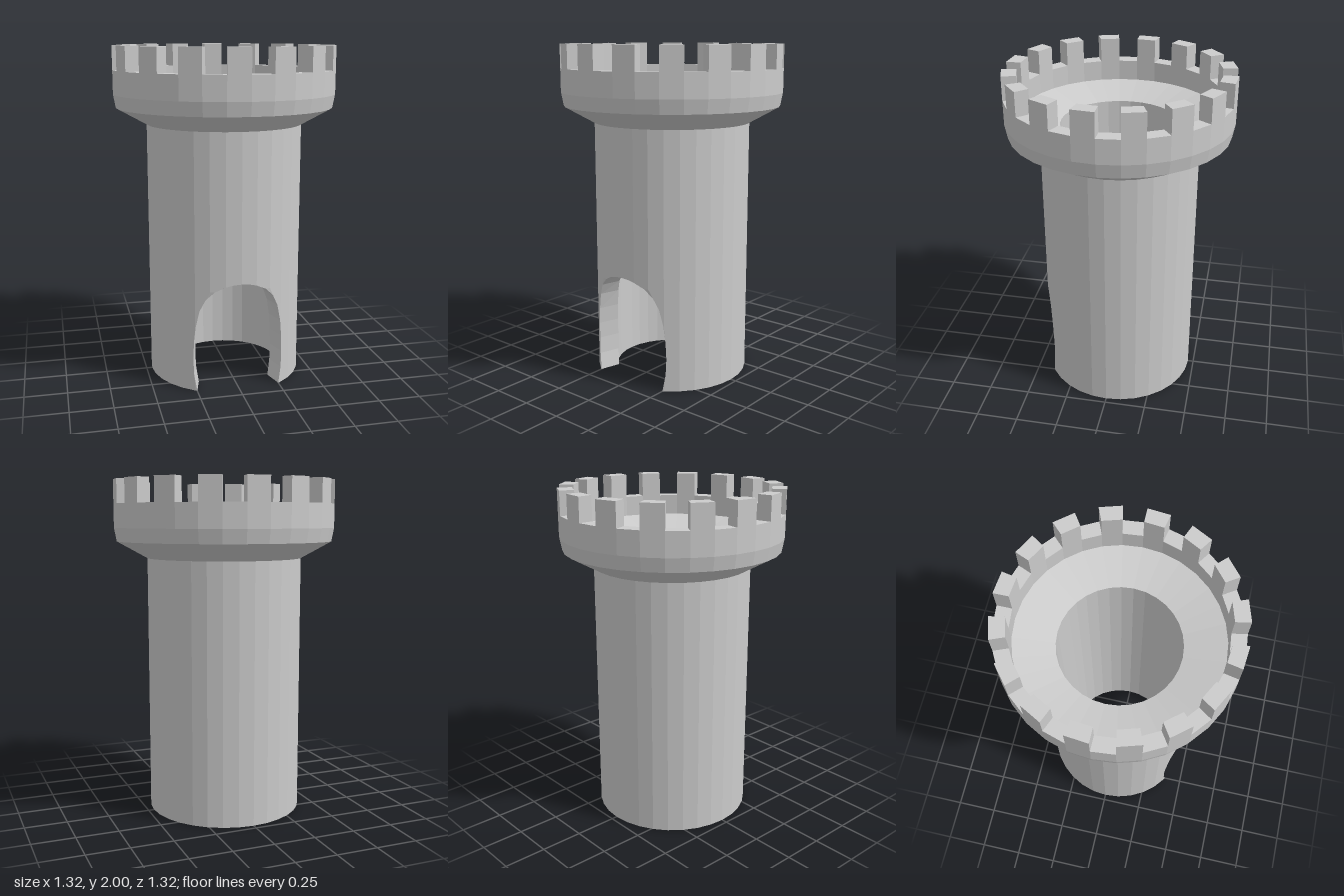
import * as THREE from 'three';

const SIDES = 32;
const STEP = (Math.PI * 2) / SIDES;

// Doorway outline: [height, half width] from the ground to the crown
const DOOR = [[0, 0.25], [0.1, 0.266], [0.2, 0.27], [0.3, 0.266], [0.4, 0.256], [0.5, 0.235],
  [0.57, 0.202], [0.62, 0.152], [0.65, 0.09], [0.66, 0.05], [0.665, 0]];

// Shaft wall surfaces: radius, top height, how far the doorway narrows inward
const OUTER = { r: 0.465, top: 1.54, taper: 1 };
const INNER = { r: 0.345, top: 1.68, taper: 0.87 };

// Point on a faceted cylinder at any angle from the front
function onFacet(r, angle, y) {
  const local = (angle % STEP) - STEP / 2;
  const d = (r * Math.cos(STEP / 2)) / Math.cos(local);
  return [d * Math.sin(angle), y, d * Math.cos(angle)];
}

// Hollow shaft with the arched doorway left open at the front
function shaftGeometry() {
  const pos = [];
  const last = DOOR.length;
  for (const side of [1, -1]) {
    const quad = (a, b, c, d) => {
      const order = side > 0 ? [a, b, c, a, c, d] : [a, c, b, a, d, c];
      for (const p of order) pos.push(p[0] * side, p[1], p[2]);
    };
    // column j is pushed aside to the door edge where the doorway is wider
    const point = (wall, j, row) => {
      const [y, w] = row < last ? DOOR[row] : [wall.top, 0];
      const edge = Math.asin((w * wall.taper) / wall.r);
      return onFacet(wall.r, Math.max(edge, j * STEP), y);
    };
    for (let j = 0; j < SIDES / 2; j++) {
      for (let i = 0; i < last; i++) {
        quad(point(OUTER, j, i), point(OUTER, j + 1, i), point(OUTER, j + 1, i + 1), point(OUTER, j, i + 1));
        quad(point(INNER, j, i), point(INNER, j, i + 1), point(INNER, j + 1, i + 1), point(INNER, j + 1, i));
      }
      // underside of the wall
      quad(point(OUTER, j, 0), point(INNER, j, 0), point(INNER, j + 1, 0), point(OUTER, j + 1, 0));
    }
    // door reveal
    for (let i = 0; i < last - 1; i++) {
      quad(point(OUTER, 0, i), point(OUTER, 0, i + 1), point(INNER, 0, i + 1), point(INNER, 0, i));
    }
  }
  const geo = new THREE.BufferGeometry();
  geo.setAttribute('position', new THREE.Float32BufferAttribute(pos, 3));
  geo.computeVertexNormals();
  return geo;
}

// Box bent into one sector of the parapet ring
function merlonGeometry() {
  const geo = new THREE.BoxGeometry(1, 1, 1);
  const p = geo.attributes.position;
  for (let i = 0; i < p.count; i++) {
    const angle = p.getX(i) * STEP;
    const r = p.getZ(i) > 0 ? 0.66 : 0.575;
    p.setXYZ(i, r * Math.sin(angle), p.getY(i) > 0 ? 2 : 1.86, r * Math.cos(angle));
  }
  geo.computeVertexNormals();
  return geo;
}

export function createModel() {
  const model = new THREE.Group();
  model.name = 'tower';
  const material = new THREE.MeshStandardMaterial({ color: 0xcccccc, flatShading: true });

  const add = (name, geometry, parent = model) => {
    const mesh = new THREE.Mesh(geometry, material);
    mesh.name = name;
    parent.add(mesh);
    return mesh;
  };

  add('shaft', shaftGeometry());

  // Flared head, parapet and the shallow funnel floor inside it
  const profile = [[0.465, 1.54], [0.645, 1.64], [0.66, 1.72], [0.66, 1.86],
    [0.575, 1.86], [0.575, 1.74], [0.345, 1.68]].map(([r, y]) => new THREE.Vector2(r, y));
  add('head', new THREE.LatheGeometry(profile, SIDES));

  // Battlements: every second sector of the ring
  const battlements = new THREE.Group();
  battlements.name = 'battlements';
  model.add(battlements);
  const merlon = merlonGeometry();
  for (let k = 0; k < SIDES / 2; k++) {
    add('merlon', merlon, battlements).rotation.y = (2 * k + 1.5) * STEP;
  }

  return model;
}
